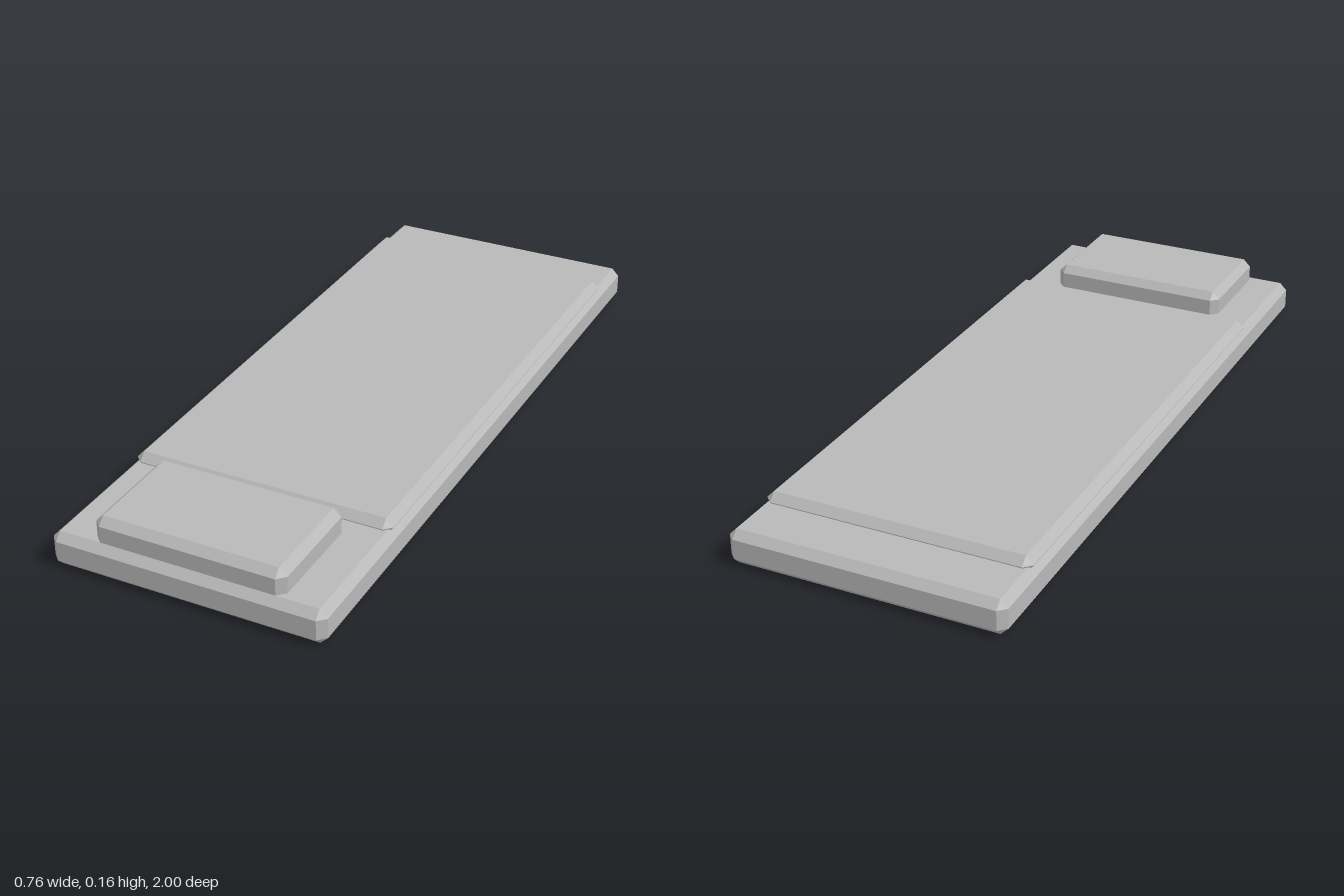
import * as THREE from 'three';
import { ConvexGeometry } from 'three/addons/geometries/ConvexGeometry.js';

const BEVEL = 0.021;

// Box with every edge and corner chamfered by the same amount
function chamferedBox(width, height, depth, bevel) {
  const half = [width / 2, height / 2, depth / 2];
  const points = [];
  for (const sx of [-1, 1]) for (const sy of [-1, 1]) for (const sz of [-1, 1]) {
    const signs = [sx, sy, sz];
    // one vertex on each of the three faces meeting at this corner
    for (let face = 0; face < 3; face++) {
      points.push(new THREE.Vector3(
        ...half.map((h, axis) => signs[axis] * (axis === face ? h : h - bevel))));
    }
  }
  return new ConvexGeometry(points);
}

export function createModel() {
  const group = new THREE.Group();
  group.name = 'bed';
  const grey = new THREE.MeshStandardMaterial({ color: 0xb8b8b8 });
  grey.name = 'plain grey';

  function addSlab(name, width, [y0, y1], [z0, z1]) {
    const mesh = new THREE.Mesh(chamferedBox(width, y1 - y0, z1 - z0, BEVEL), grey);
    mesh.name = name;
    mesh.position.set(0, (y0 + y1) / 2, (z0 + z1) / 2);
    group.add(mesh);
  }

  addSlab('base', 0.757, [0, 0.097], [-1, 1]);
  // cover and pillow sink slightly into the base
  addSlab('cover', 0.737, [0.078, 0.122], [-0.845, 0.632]);
  addSlab('pillow', 0.525, [0.076, 0.164], [0.663, 0.979]);

  return group;
}
